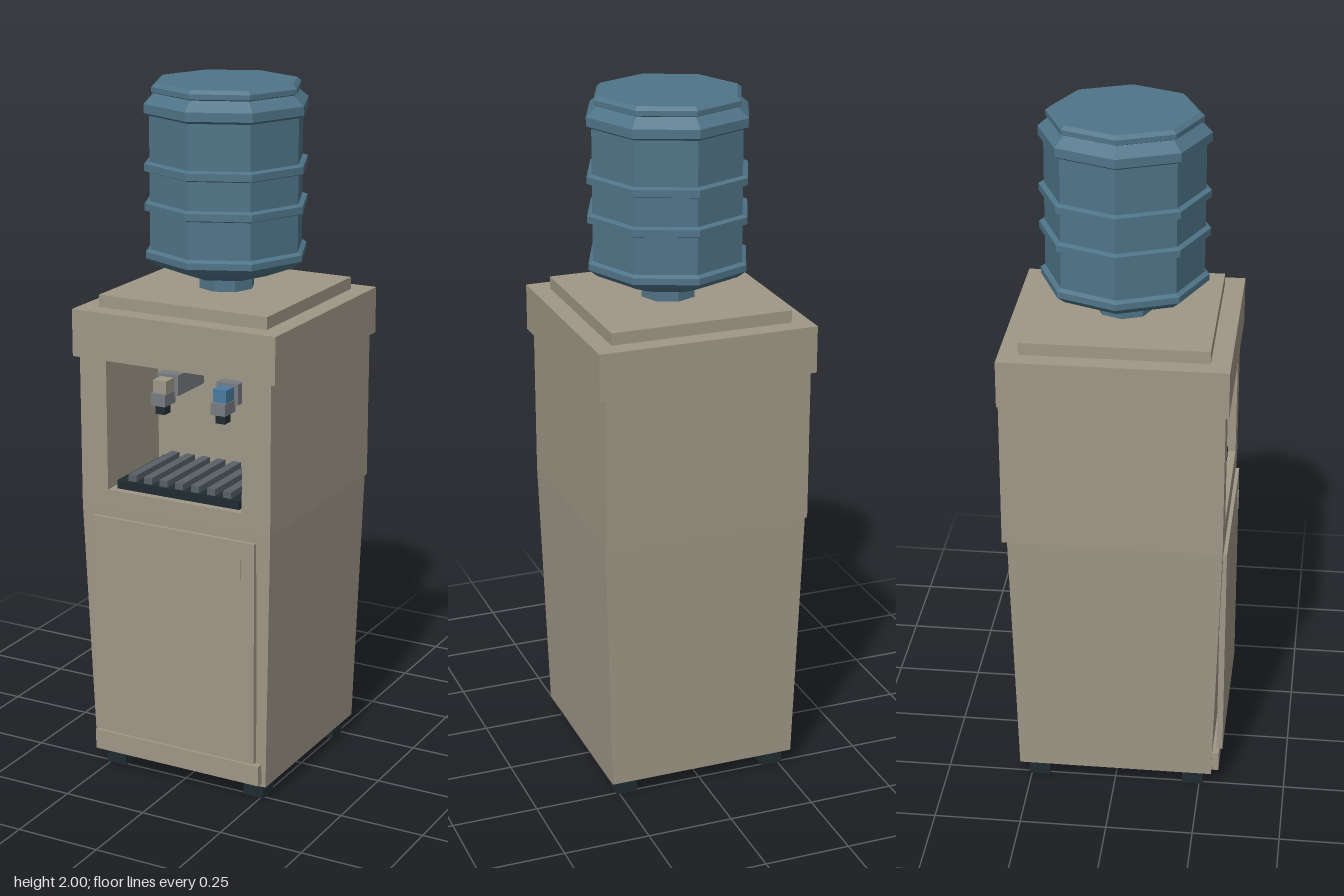
import * as THREE from 'three';

const material = (name, color) => {
  const m = new THREE.MeshStandardMaterial({ color });
  m.name = name;
  return m;
};

export function createModel() {
  const group = new THREE.Group();
  const beige = material('beige casing', 0x9f9787);
  const bottleBlue = material('bottle blue', 0x4f7488);
  const dark = material('dark rubber', 0x202c30);
  const grey = material('tap grey', 0x777b80);
  const slate = material('grille grey', 0x596068);
  const tapBlue = material('cold tap blue', 0x4a7ba0);

  const add = (name, geometry, mat) => {
    const mesh = new THREE.Mesh(geometry, mat);
    mesh.name = name;
    group.add(mesh);
    return mesh;
  };
  // Box given by its limits on each axis
  const box = (name, mat, [x0, x1], [y0, y1], [z0, z1]) => {
    const g = new THREE.BoxGeometry(x1 - x0, y1 - y0, z1 - z0);
    g.translate((x0 + x1) / 2, (y0 + y1) / 2, (z0 + z1) / 2);
    return add(name, g, mat);
  };

  // Lower cabinet, narrowing towards the floor
  const lower = new THREE.BoxGeometry(0.6, 0.765, 0.607);
  lower.translate(0, 0.4325, 0.0035);
  const p = lower.attributes.position;
  for (let i = 0; i < p.count; i++) {
    if (p.getY(i) < 0.4) {
      p.setX(i, Math.sign(p.getX(i)) * 0.279);
      p.setZ(i, p.getZ(i) > 0 ? 0.286 : -0.282);
    }
  }
  lower.computeVertexNormals();
  add('lowerCabinet', lower, beige);

  // Upper cabinet: sill, then a U-shaped plan around the dispensing recess
  box('recessSill', beige, [-0.3, 0.3], [0.815, 0.87], [-0.315, 0.307]);
  const plan = new THREE.Shape([
    [-0.3, 0.315], [-0.3, -0.307], [-0.215, -0.307], [-0.215, -0.02],
    [0.212, -0.02], [0.212, -0.307], [0.3, -0.307], [0.3, 0.315],
  ].map(([x, y]) => new THREE.Vector2(x, y)));
  const upper = new THREE.ExtrudeGeometry(plan, { depth: 0.38, bevelEnabled: false });
  upper.rotateX(-Math.PI / 2);
  upper.translate(0, 0.87, 0);
  add('upperCabinet', upper, beige);

  // Lid and bottle seat
  box('lid', beige, [-0.317, 0.317], [1.25, 1.385], [-0.317, 0.317]);
  box('bottleSeat', beige, [-0.263, 0.263], [1.385, 1.42], [-0.262, 0.261]);

  // Door, handle and kick plate
  box('door', beige, [-0.26, 0.256], [0.13, 0.79], [0.3, 0.317]);
  box('doorHandle', beige, [0.202, 0.214], [0.68, 0.74], [0.316, 0.32]);
  box('kickPlate', beige, [-0.27, 0.266], [0.06, 0.12], [0.27, 0.307]);

  // Feet
  for (const x of [-0.23, 0.227]) {
    for (const z of [-0.227, 0.23]) {
      box('foot', dark, [x - 0.031, x + 0.031], [0, 0.05], [z - 0.031, z + 0.031]);
    }
  }

  // Drip tray with grille bars
  box('dripTray', dark, [-0.197, 0.192], [0.868, 0.895], [0.021, 0.285]);
  for (let i = 0; i < 7; i++) {
    const x = -0.153 + i * 0.0505;
    box('grilleBar', slate, [x - 0.013, x + 0.013], [0.89, 0.914], [0.03, 0.277]);
  }

  // Taps: arm, coloured lever, spout and nozzle
  for (const [x, lever] of [[-0.098, beige], [0.093, tapBlue]]) {
    const span = (h) => [x - h, x + h];
    box('tapArm', grey, span(0.034), [1.13, 1.19], [0.02, 0.17]);
    box('tapLever', lever, span(0.021), [1.143, 1.182], [0.17, 0.215]);
    box('tapSpout', grey, span(0.023), [1.11, 1.145], [0.165, 0.225]);
    box('tapNozzle', dark, span(0.015), [1.083, 1.11], [0.18, 0.212]);
  }

  // Eight-sided water bottle with raised ribs
  const ribs = [1.65, 1.76].flatMap((y) => [
    [0.222, y - 0.005], [0.237, y], [0.237, y + 0.02], [0.222, y + 0.025],
  ]);
  const profile = [
    [0, 1.42], [0.08, 1.42], [0.08, 1.458], [0.125, 1.462], [0.21, 1.495],
    [0.235, 1.515], [0.235, 1.533], [0.222, 1.54],
    ...ribs,
    [0.222, 1.912], [0.237, 1.92], [0.237, 1.945], [0.205, 1.972],
    [0.215, 1.976], [0.215, 1.99], [0.203, 2], [0, 2],
  ].map(([r, y]) => new THREE.Vector2(r, y));
  const bottle = new THREE.LatheGeometry(profile, 8).toNonIndexed();
  bottle.computeVertexNormals();
  add('waterBottle', bottle, bottleBlue);

  return group;
}
